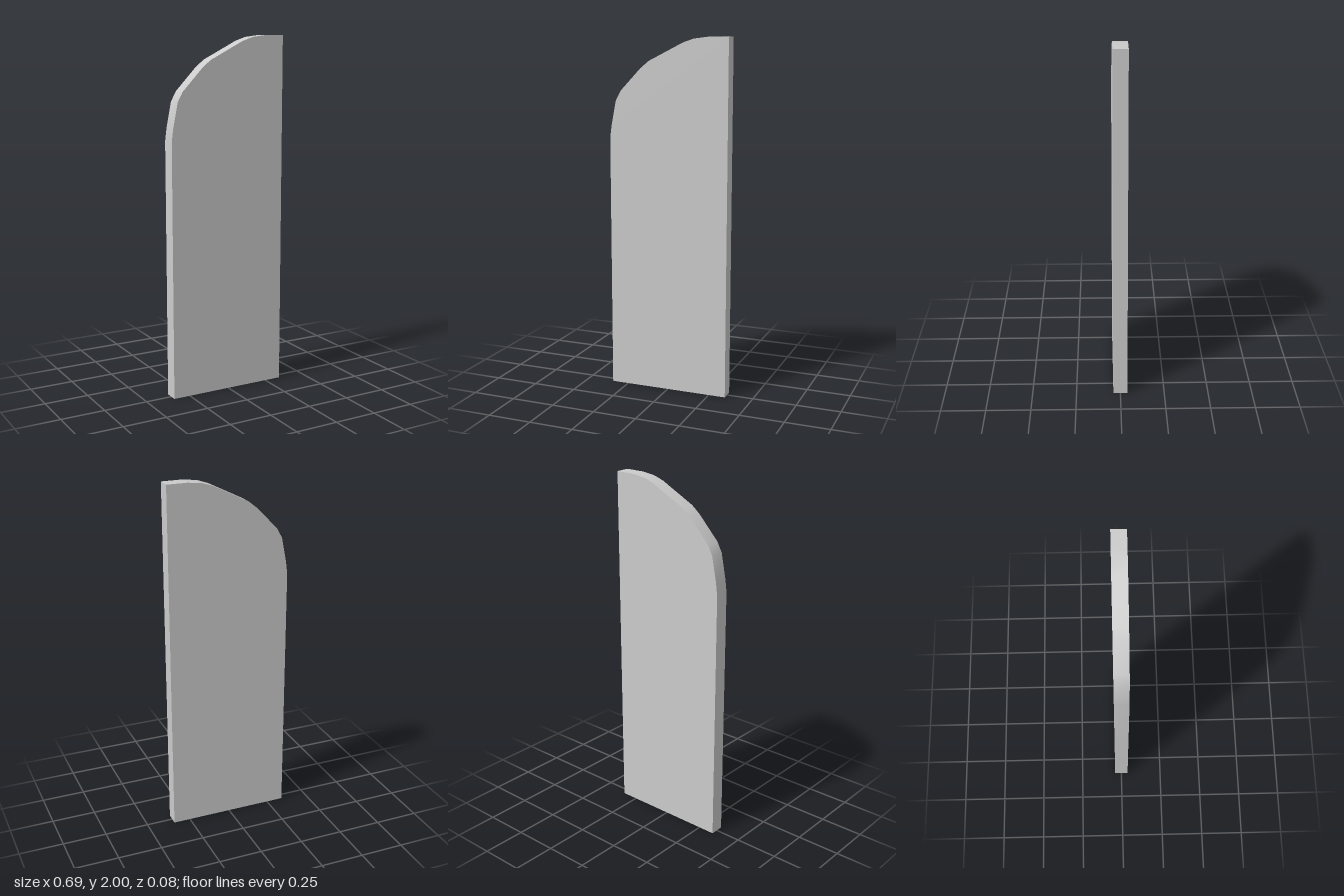
import * as THREE from 'three';
import { toCreasedNormals } from 'three/addons/utils/BufferGeometryUtils.js';

const HALF_WIDTH = 0.347;
const DEPTH = 0.08;

export function createModel() {
  const model = new THREE.Group();
  model.name = 'archedPanel';

  // Outline: straight base and inner edge, softly faceted half arch on the right
  const outline = [
    [-HALF_WIDTH, 0], [HALF_WIDTH, 0], [HALF_WIDTH, 2],
    [0.23, 2], [0.15, 1.99], [0.09, 1.97], [-0.11, 1.87], [-0.16, 1.83],
    [-0.28, 1.705], [-0.31, 1.65], [-0.338, 1.51], [-HALF_WIDTH, 1.44],
  ].map(([x, y]) => new THREE.Vector2(x, y));

  // Slab extruded evenly about z = 0, with the arch shaded smoothly
  const slab = new THREE.ExtrudeGeometry(new THREE.Shape(outline), { depth: DEPTH, bevelEnabled: false });
  slab.translate(0, 0, -DEPTH / 2);

  const panel = new THREE.Mesh(
    toCreasedNormals(slab, Math.PI / 5),
    new THREE.MeshStandardMaterial({ color: 0xcccccc }),
  );
  panel.name = 'panel';
  model.add(panel);
  return model;
}
